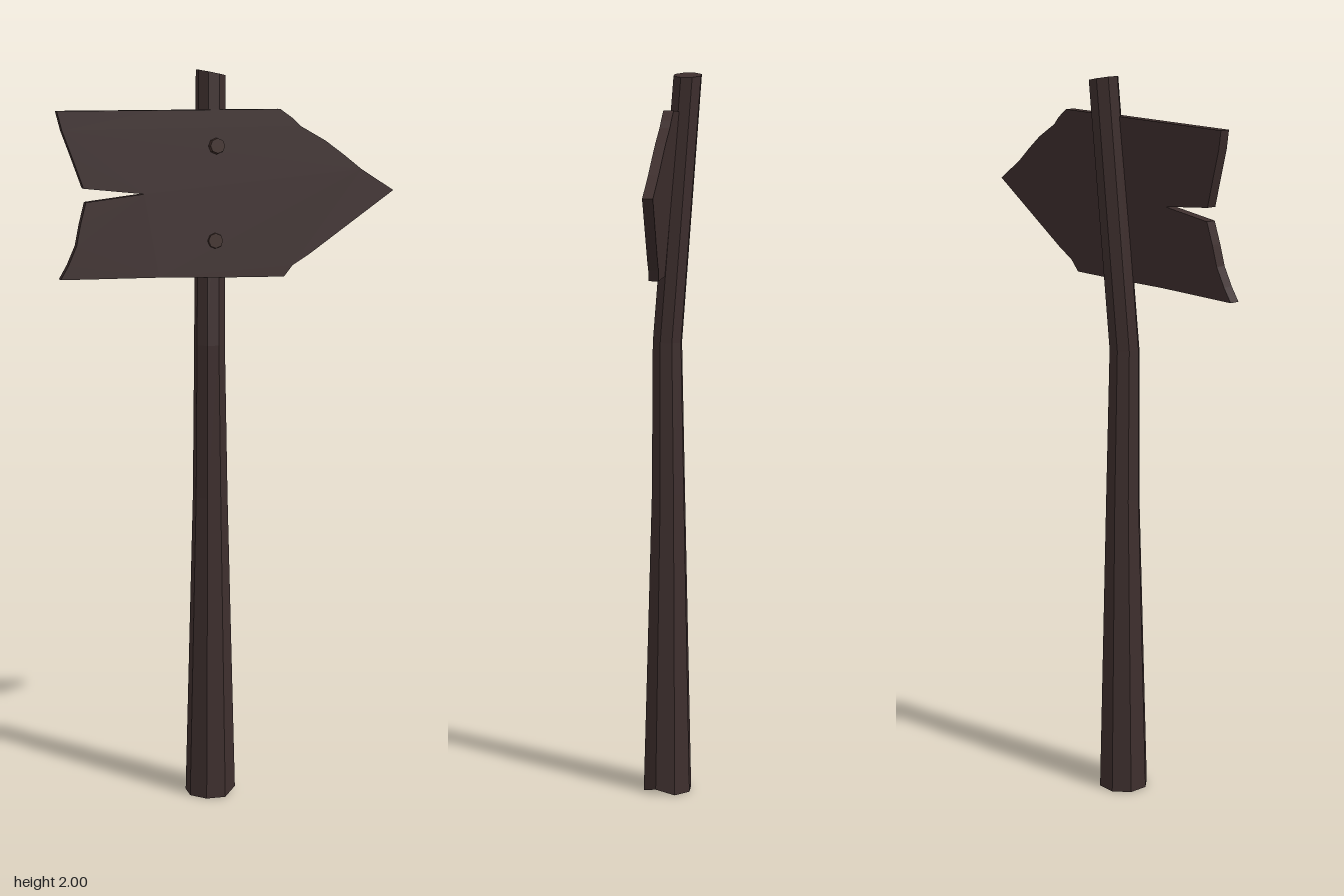
import * as THREE from 'three';

const material = (color) => new THREE.MeshStandardMaterial({ color, flatShading: true });

// Front plane of the leaning board at height y
const boardFront = (y) => 0.045 - (y - 1.45) * 0.09;

// Octagonal post lofted through rings of [x, y, z, radius, tilt]
function postGeometry() {
  const rings = [
    [-0.055, 0, 0.015, 0.07, 0],
    [-0.053, 0.85, 0.012, 0.048, 0],
    [-0.055, 1.27, 0.015, 0.042, 0],
    [-0.036, 1.992, -0.042, 0.04, -0.2],
  ];
  const sides = 8, pos = [], index = [];
  rings.forEach(([x, y, z, r, tilt], level) => {
    for (let i = 0; i < sides; i++) {
      const a = ((i + 0.5) / sides) * Math.PI * 2;
      const dx = Math.sin(a) * r, dz = Math.cos(a) * r;
      // one worn corner at the foot
      const chip = level === 0 && i === 1 ? 0.015 : 0;
      pos.push(x + dx, y + dx * tilt + chip, z + dz);
    }
  });
  for (let level = 0; level < rings.length - 1; level++) {
    for (let i = 0; i < sides; i++) {
      const a = level * sides + i, b = level * sides + ((i + 1) % sides);
      index.push(a, b, b + sides, a, b + sides, a + sides);
    }
  }
  // top cap; the foot stays open
  const top = (rings.length - 1) * sides;
  for (let i = 1; i < sides - 1; i++) index.push(top, top + i, top + i + 1);
  const geo = new THREE.BufferGeometry();
  geo.setAttribute('position', new THREE.Float32BufferAttribute(pos, 3));
  geo.setIndex(index);
  geo.computeVertexNormals();
  return geo;
}

// Arrow board with a split tail, sheared to follow the post's lean
function boardGeometry() {
  const outline = [
    [-0.462, 1.895], [-0.45, 1.845], [-0.425, 1.775], [-0.397, 1.694],
    [-0.235, 1.677], [-0.392, 1.658], [-0.408, 1.6], [-0.42, 1.545],
    [-0.443, 1.495], [-0.465, 1.458], [-0.2, 1.457], [0.0, 1.452],
    [0.145, 1.45], [0.17, 1.48], [0.22, 1.51], [0.46, 1.675],
    [0.37, 1.733], [0.32, 1.773], [0.27, 1.81], [0.2, 1.85],
    [0.18, 1.87], [0.145, 1.895], [-0.2, 1.895],
  ];
  const shape = new THREE.Shape(outline.map(([x, y]) => new THREE.Vector2(x, y)));
  const depth = 0.027;
  const geo = new THREE.ExtrudeGeometry(shape, { depth, bevelEnabled: false });
  const p = geo.attributes.position;
  for (let i = 0; i < p.count; i++) p.setZ(i, p.getZ(i) - depth + boardFront(p.getY(i)));
  geo.computeVertexNormals();
  return geo;
}

export function createModel() {
  const group = new THREE.Group();
  const wood = material(0x3d2e2d);

  const post = new THREE.Mesh(postGeometry(), wood);
  post.name = 'post';

  const board = new THREE.Mesh(boardGeometry(), wood);
  board.name = 'arrowBoard';
  group.add(post, board);

  // Nail heads: x, y, how far they stand out
  const nailMaterial = material(0x402e2a);
  [[-0.035, 1.8, 0.017], [-0.044, 1.55, 0.007]].forEach(([x, y, out], i) => {
    const nail = new THREE.Mesh(new THREE.CylinderGeometry(0.02, 0.023, out + 0.01, 8), nailMaterial);
    nail.name = i === 0 ? 'upperNail' : 'lowerNail';
    nail.rotation.x = Math.PI / 2 - 0.09;
    nail.position.set(x, y, boardFront(y) + (out - 0.01) / 2);
    group.add(nail);
  });
  return group;
}
